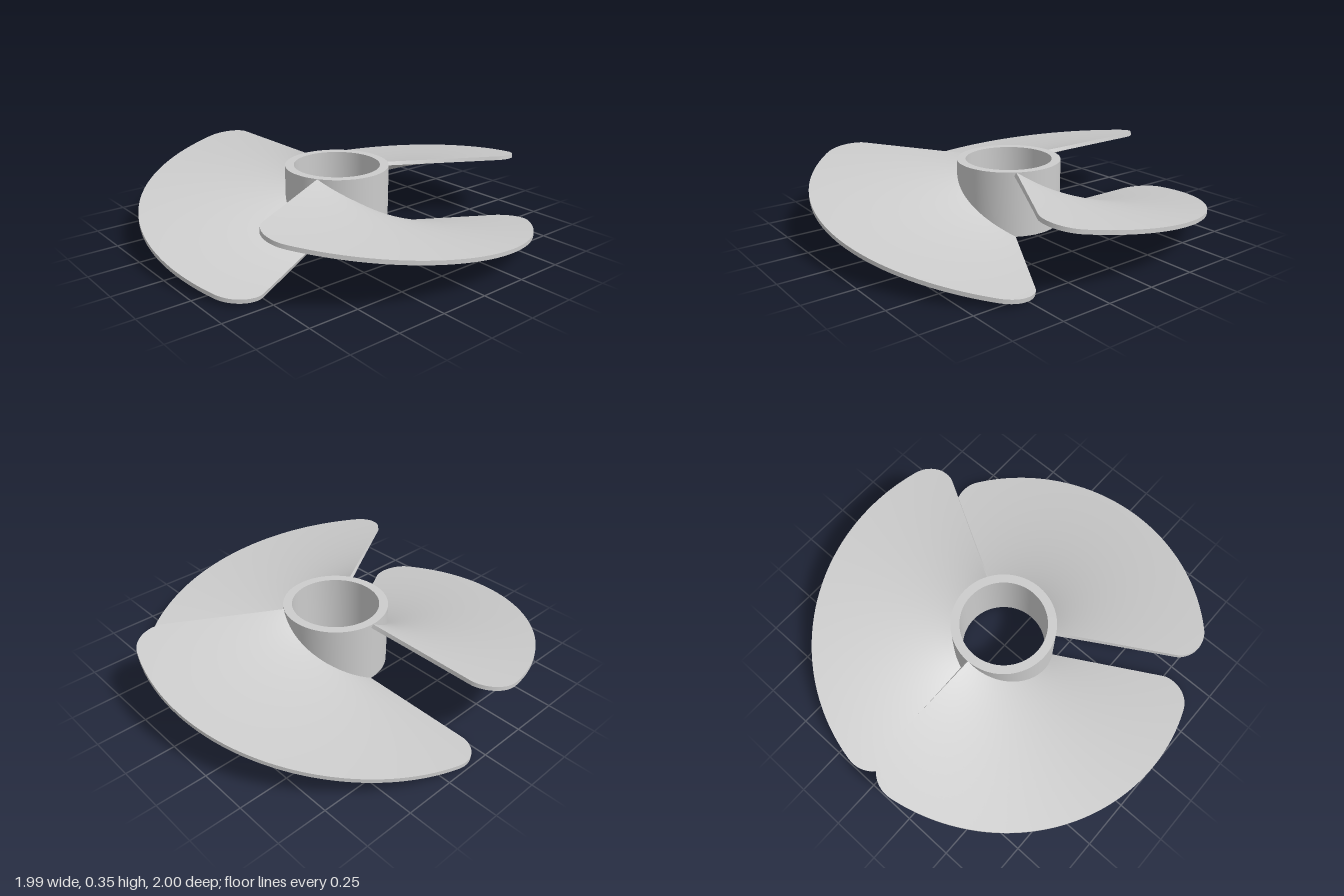
import * as THREE from 'three';
import { toCreasedNormals } from 'three/addons/utils/BufferGeometryUtils.js';

const HUB_R = 0.265, BORE_R = 0.22, LOW = 0.02, HIGH = 0.35;
const THICK = 0.02, FILLET = 0.147, SPAN = Math.PI * 2 / 3;
const K = (HIGH - LOW) / SPAN; // rise per radian of the helical blade
const COLS = 64;

// Rows of the blade: radius and angular inset at each end (rounded tip corners)
function bladeRows() {
  const rows = [];
  const c = 1 - FILLET, tangent = Math.sqrt(1 - 2 * FILLET), phi = Math.asin(FILLET / c);
  for (let i = 0; i < 16; i++) rows.push([THREE.MathUtils.lerp(0.255, tangent, i / 16), 0.004]);
  for (let i = 0; i <= 14; i++) {
    // walk round the fillet from the straight edge to the outer rim
    const a = (Math.PI / 2 + phi) * i / 14 - Math.PI / 2;
    const x = tangent + FILLET * Math.cos(a);
    const y = FILLET + FILLET * Math.sin(a);
    // keep only the part of the arc that leads outward
    rows.push([Math.hypot(x, y), Math.max(0.004, Math.atan2(y, x))]);
  }
  // the arc starts tangent to the straight edge
  return rows;
}

function bladeGeometry() {
  const rows = bladeRows(), top = [], bottom = [], index = [];
  const stride = COLS + 1, count = rows.length * stride;
  for (const [r, inset] of rows) {
    for (let j = 0; j <= COLS; j++) {
      const half = SPAN / 2 - inset;
      const t = -half + 2 * half * j / COLS;
      const p = new THREE.Vector3(r * Math.cos(t), LOW + K * (t + SPAN / 2), r * Math.sin(t));
      const n = new THREE.Vector3(Math.sin(t) * K / r, 1, -Math.cos(t) * K / r).normalize();
      top.push(...p.toArray());
      bottom.push(...p.addScaledVector(n, -THICK).toArray());
    }
  }
  // upper and lower skins
  for (let i = 0; i < rows.length - 1; i++) {
    for (let j = 0; j < COLS; j++) {
      const a = i * stride + j, b = a + stride, c = b + 1, d = a + 1;
      index.push(a, d, b, b, d, c);
      index.push(a + count, b + count, d + count, b + count, c + count, d + count);
    }
  }
  // rim joining the skins
  const loop = [], last = rows.length - 1;
  for (let j = 0; j < COLS; j++) loop.push(j);
  for (let i = 0; i < last; i++) loop.push(i * stride + COLS);
  for (let j = COLS; j > 0; j--) loop.push(last * stride + j);
  for (let i = last; i > 0; i--) loop.push(i * stride);
  loop.forEach((p, i) => {
    const q = loop[(i + 1) % loop.length];
    index.push(p, q, p + count, q, q + count, p + count);
    // orient outward
    const k = index.length - 6;
    index.splice(k, 6, p, p + count, q, q, p + count, q + count);
  });
  const geometry = new THREE.BufferGeometry();
  geometry.setAttribute('position', new THREE.Float32BufferAttribute([...top, ...bottom], 3));
  geometry.setIndex(index);
  return toCreasedNormals(geometry, 0.7);
}

export function createModel() {
  const model = new THREE.Group();
  model.name = 'propeller';
  const material = new THREE.MeshStandardMaterial({ color: 0xcccccc });

  // Hub: open ring
  const profile = [[BORE_R, LOW], [HUB_R, LOW], [HUB_R, HIGH], [BORE_R, HIGH], [BORE_R, LOW]]
    .map(([x, y]) => new THREE.Vector2(x, y));
  const hub = new THREE.Mesh(toCreasedNormals(new THREE.LatheGeometry(profile, 96), 0.7), material);
  hub.name = 'hub';
  model.add(hub);

  // Three helical blades
  const geometry = bladeGeometry();
  for (let i = 0; i < 3; i++) {
    const blade = new THREE.Mesh(geometry, material);
    blade.name = `blade${i + 1}`;
    blade.rotation.y = i * SPAN;
    model.add(blade);
  }
  model.position.x = -0.0065;
  return model;
}
